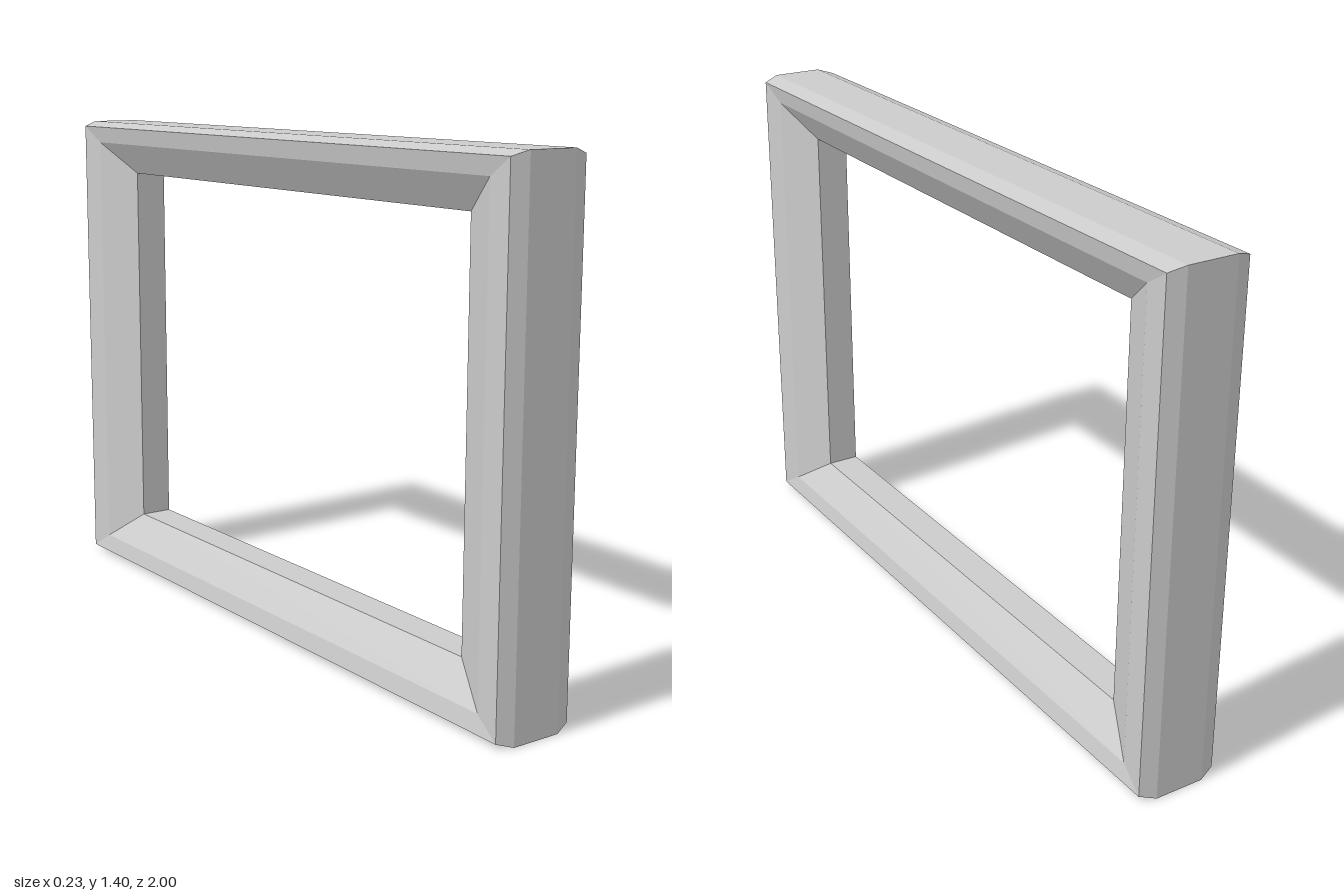
import * as THREE from 'three';

const HEIGHT = 1.397;
const HALF_LENGTH = 1;

// Half of the moulding section: [x, inset along z, inset along y], outside to inside
const HALF = [
  [0.07, 0, 0],
  [0.115, 0.015, 0.014],
  [0.105, 0.092, 0.062],
  [0.047, 0.22, 0.153],
];
// Closed section, mirrored across x = 0
const SECTION = [...HALF, ...HALF.map(([x, z, y]) => [-x, z, y]).reverse()];

// Frame corners as [z side, y side]
const CORNERS = [[1, 1], [-1, 1], [-1, -1], [1, -1]];
const NAMES = ['topRail', 'backPost', 'bottomRail', 'frontPost'];

// Section point carried to a mitred corner
function cornerPoint([sz, sy], [x, insetZ, insetY]) {
  return [x, HEIGHT / 2 + sy * (HEIGHT / 2 - insetY), sz * (HALF_LENGTH - insetZ)];
}

// One bar of the frame, swept between two neighbouring corners
function bar(from, to) {
  const positions = [];
  SECTION.forEach((p, i) => {
    const q = SECTION[(i + 1) % SECTION.length];
    const a = cornerPoint(from, p);
    const b = cornerPoint(from, q);
    const c = cornerPoint(to, q);
    const d = cornerPoint(to, p);
    positions.push(...a, ...b, ...c, ...a, ...c, ...d);
  });
  const geometry = new THREE.BufferGeometry();
  geometry.setAttribute('position', new THREE.Float32BufferAttribute(positions, 3));
  geometry.computeVertexNormals();
  return geometry;
}

export function createModel() {
  const group = new THREE.Group();
  group.name = 'rectangularFrame';
  const material = new THREE.MeshStandardMaterial({ color: 0xcccccc, flatShading: true });

  CORNERS.forEach((corner, i) => {
    const mesh = new THREE.Mesh(bar(corner, CORNERS[(i + 1) % 4]), material);
    mesh.name = NAMES[i];
    group.add(mesh);
  });
  return group;
}
